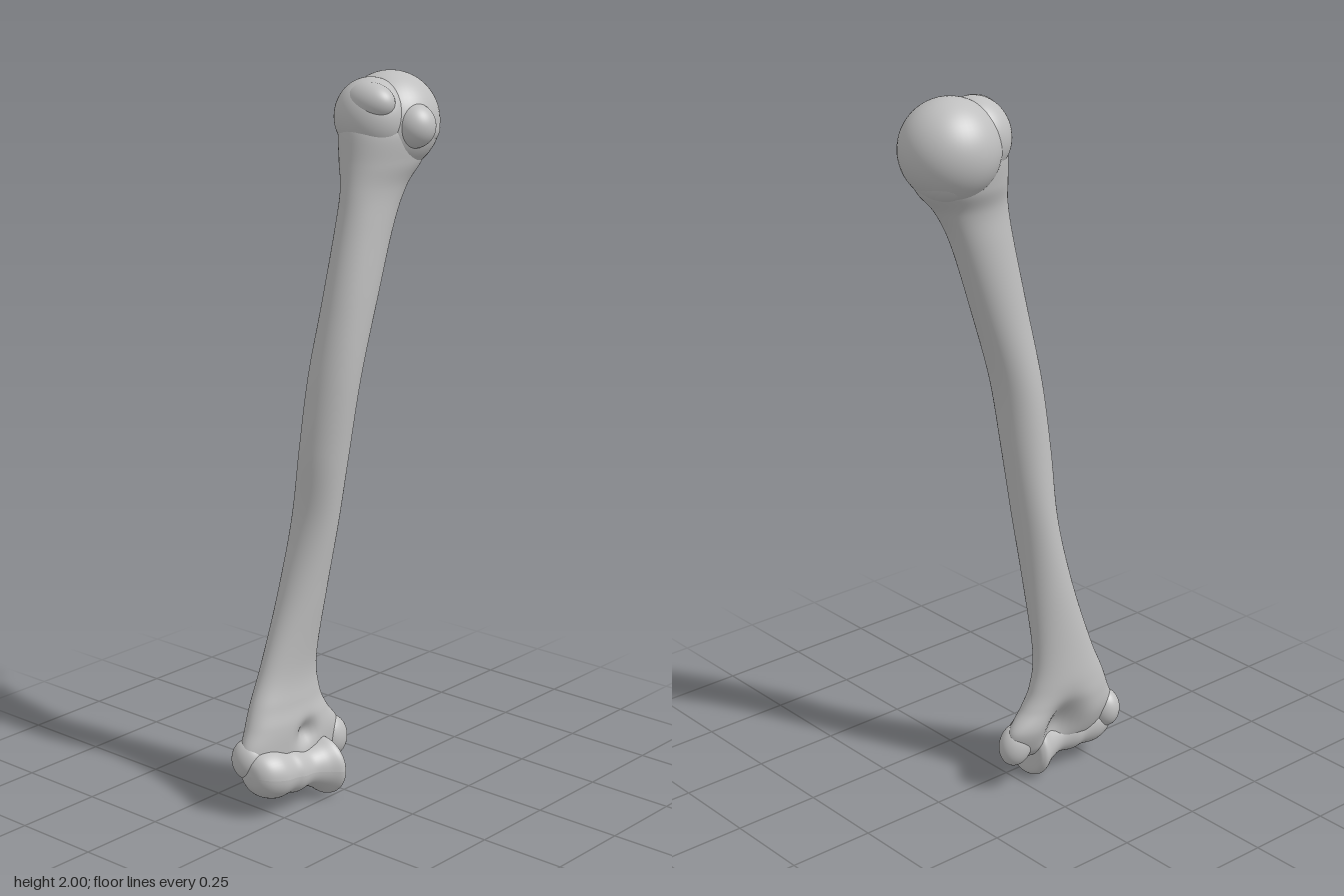
import * as THREE from 'three';

const bone = new THREE.MeshStandardMaterial({ color: 0xbfbfbf });
bone.name = 'boneGrey';

// Silhouette of the shaft: y, left x, right x, back z, front z
const SECTIONS = [
  [0.085, -0.27, 0.015, -0.095, -0.04],
  [0.12, -0.305, 0.05, -0.125, -0.03],
  [0.18, -0.315, 0.06, -0.152, -0.025],
  [0.24, -0.29, 0.015, -0.16, -0.025],
  [0.30, -0.265, -0.012, -0.158, -0.035],
  [0.40, -0.22, -0.025, -0.152, -0.04],
  [0.60, -0.155, -0.012, -0.142, -0.015],
  [0.80, -0.112, 0.005, -0.127, 0.012],
  [1.00, -0.105, 0.025, -0.107, 0.036],
  [1.20, -0.085, 0.05, -0.093, 0.056],
  [1.40, -0.05, 0.105, -0.076, 0.066],
  [1.60, -0.01, 0.172, -0.066, 0.07],
  [1.70, 0.005, 0.225, -0.066, 0.076],
  [1.77, 0.012, 0.285, -0.09, 0.095],
  [1.85, 0.018, 0.29, -0.1, 0.105],
  [1.90, 0.03, 0.27, -0.08, 0.08],
];

const gauss = (dx, dy, rx, ry) => Math.exp(-((dx / rx) ** 2) - (dy / ry) ** 2);

// Lofted shaft with the hollows above the elbow joint
function shaftGeometry(steps = 150, sides = 64) {
  const curve = (a, b) => new THREE.CatmullRomCurve3(
    SECTIONS.map((s) => new THREE.Vector3(s[a], s[0], s[b])), false, 'catmullrom', 0.5);
  const xs = curve(1, 2), zs = curve(3, 4);
  const pos = [], idx = [];
  for (let i = 0; i <= steps; i++) {
    const px = xs.getPoint(i / steps), pz = zs.getPoint(i / steps);
    const y = px.y;
    for (let j = 0; j < sides; j++) {
      const a = (j / sides) * Math.PI * 2, c = Math.cos(a), s = Math.sin(a);
      const x = (px.x + px.z) / 2 + c * (px.z - px.x) / 2;
      let z = (pz.x + pz.z) / 2 + s * (pz.z - pz.x) / 2;
      if (s < 0) z += 0.06 * -s * gauss(x + 0.1, y - 0.17, 0.06, 0.075);
      else z -= 0.03 * s * gauss(x + 0.12, y - 0.2, 0.035, 0.035);
      pos.push(x, y, z);
    }
  }
  for (let i = 0; i < steps; i++) {
    for (let j = 0; j < sides; j++) {
      const k = (j + 1) % sides;
      const a = i * sides + j, b = i * sides + k;
      idx.push(a, a + sides, b, b, a + sides, b + sides);
    }
  }
  // End caps
  for (const [row, s, flip] of [[0, SECTIONS[0], false], [steps, SECTIONS.at(-1), true]]) {
    const centre = pos.length / 3;
    pos.push((s[1] + s[2]) / 2, s[0], (s[3] + s[4]) / 2);
    for (let j = 0; j < sides; j++) {
      const a = row * sides + j, b = row * sides + ((j + 1) % sides);
      idx.push(centre, flip ? b : a, flip ? a : b);
    }
  }
  const g = new THREE.BufferGeometry();
  g.setAttribute('position', new THREE.Float32BufferAttribute(pos, 3));
  g.setIndex(idx);
  g.computeVertexNormals();
  return g;
}

// Joint roller: a turned profile laid along x, its axis sloping down and forward
function rollerGeometry() {
  const profile = [[-0.318, 0], [-0.312, 0.035], [-0.29, 0.06], [-0.25, 0.071], [-0.205, 0.063],
    [-0.175, 0.064], [-0.13, 0.054], [-0.09, 0.066], [-0.058, 0.084], [-0.042, 0.08], [-0.034, 0.06], [-0.036, 0]];
  const smooth = new THREE.SplineCurve(profile.map(([x, r]) => new THREE.Vector2(r, x))).getPoints(60);
  smooth.forEach((p) => { p.x = Math.max(p.x, 0); });
  const g = new THREE.LatheGeometry(smooth, 48);
  g.rotateZ(-Math.PI / 2);
  const p = g.attributes.position;
  for (let i = 0; i < p.count; i++) {
    const t = (p.getX(i) + 0.3) / 0.25;
    p.setY(i, p.getY(i) + 0.122 - 0.038 * t);
    p.setZ(i, p.getZ(i) - 0.062 + 0.025 * t);
  }
  g.computeVertexNormals();
  return g;
}

export function createModel() {
  const model = new THREE.Group();
  model.name = 'upperArmBone';

  const add = (name, geometry) => {
    const mesh = new THREE.Mesh(geometry, bone);
    mesh.name = name;
    model.add(mesh);
    return mesh;
  };
  const blob = (name, centre, radii, tilt = 0) => {
    const mesh = add(name, new THREE.SphereGeometry(1, 48, 32));
    mesh.position.set(...centre);
    mesh.scale.set(...radii);
    mesh.rotation.z = tilt;
  };

  add('shaft', shaftGeometry());

  // Shoulder end
  blob('head', [0.19, 1.866, -0.002], [0.135, 0.134, 0.132]);
  blob('greaterTubercle', [0.108, 1.885, 0.0], [0.093, 0.105, 0.102]);
  blob('tubercleCrest', [0.075, 1.93, 0.025], [0.05, 0.052, 0.075]);
  blob('lesserTubercle', [0.165, 1.865, 0.1], [0.055, 0.06, 0.061]);
  blob('lesserTubercleRidge', [0.22, 1.85, 0.075], [0.06, 0.05, 0.05]);
  blob('headLowerRim', [0.23, 1.8, -0.005], [0.075, 0.06, 0.09], 0.5);

  // Elbow end
  add('elbowRoller', rollerGeometry());
  blob('innerEpicondyle', [0.03, 0.135, -0.075], [0.05, 0.062, 0.042], 0.2);
  blob('outerEpicondyle', [-0.283, 0.155, -0.1], [0.044, 0.058, 0.05]);

  return model;
}
